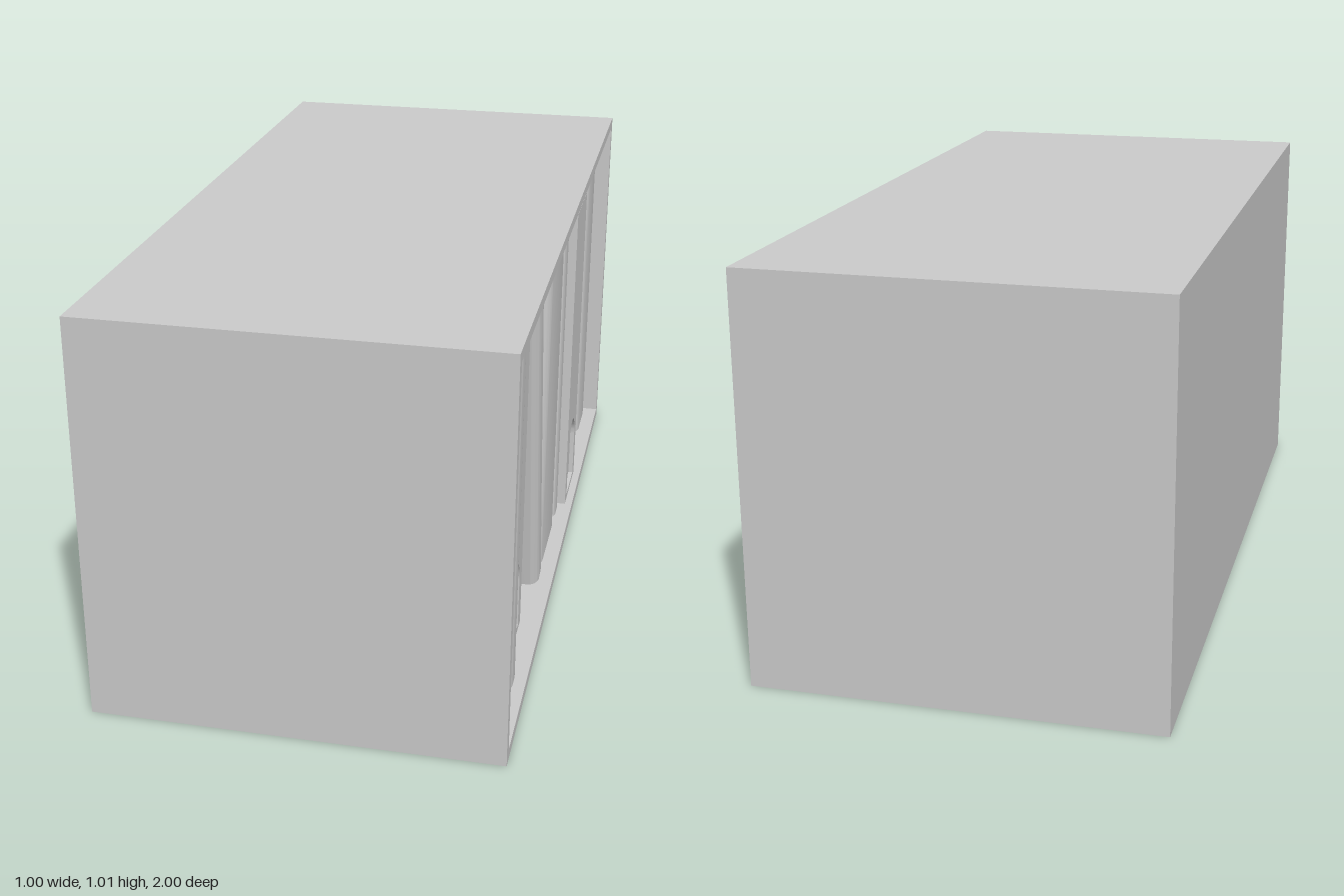
import * as THREE from 'three';
import { toCreasedNormals } from 'three/addons/utils/BufferGeometryUtils.js';

const material = new THREE.MeshStandardMaterial({ color: 0xcccccc });
const FLOOR = 0.028, BOOK_HEIGHT = 0.89, BOOK_DEPTH = 0.75;

function part(name, geometry, x = 0, y = 0, z = 0) {
  const mesh = new THREE.Mesh(geometry, material);
  mesh.name = name;
  mesh.position.set(x, y, z);
  return mesh;
}

function box(name, w, h, d, x, y, z) {
  return part(name, new THREE.BoxGeometry(w, h, d), x, y, z);
}

// Extrude a plan outline upwards, centred on its height.
function upright(shape, height) {
  const g = new THREE.ExtrudeGeometry(shape, { depth: height, bevelEnabled: false, curveSegments: 8 });
  g.translate(0, 0, -height / 2).rotateX(-Math.PI / 2);
  return toCreasedNormals(g, 0.6);
}

// Extrude a spine-side outline (first axis along -z) outwards along +x.
function outward(shape, depth) {
  const g = new THREE.ExtrudeGeometry(shape, { depth, bevelEnabled: false, curveSegments: 16 });
  g.rotateY(Math.PI / 2);
  return toCreasedNormals(g, 0.6);
}

// U-shaped cover with a rounded spine at x = 0, wrapped around a page block.
function makeBook(width, radius) {
  const book = new THREE.Group();
  book.name = 'book';
  const w = width / 2, t = 0.012, r = radius, ri = Math.max(r - t, 0.004), wi = w - t;
  const s = new THREE.Shape();
  s.moveTo(-BOOK_DEPTH, -w);
  s.lineTo(-r, -w);
  s.absarc(-r, -w + r, r, -Math.PI / 2, 0, false);
  s.absarc(-r, w - r, r, 0, Math.PI / 2, false);
  s.lineTo(-BOOK_DEPTH, w);
  s.lineTo(-BOOK_DEPTH, wi);
  s.lineTo(-t - ri, wi);
  s.absarc(-t - ri, wi - ri, ri, Math.PI / 2, 0, true);
  s.absarc(-t - ri, -wi + ri, ri, 0, -Math.PI / 2, true);
  s.lineTo(-BOOK_DEPTH, -wi);
  s.closePath();
  book.add(part('cover', upright(s, BOOK_HEIGHT)));

  const p = new THREE.Shape();
  p.moveTo(-BOOK_DEPTH + 0.01, -wi);
  p.lineTo(-t - ri, -wi);
  p.absarc(-t - ri, -wi + ri, ri, -Math.PI / 2, 0, false);
  p.absarc(-t - ri, wi - ri, ri, 0, Math.PI / 2, false);
  p.lineTo(-BOOK_DEPTH + 0.01, wi);
  p.closePath();
  book.add(part('pages', upright(p, BOOK_HEIGHT - 0.012)));
  return book;
}

function rectangle(w, h) {
  const s = new THREE.Shape();
  s.moveTo(-w / 2, 0);
  s.lineTo(w / 2, 0);
  s.lineTo(w / 2, h);
  s.lineTo(-w / 2, h);
  s.closePath();
  return s;
}

// Flat-spined binder with an arched recess and a finger hole near the bottom.
function makeBinder(width) {
  const binder = new THREE.Group();
  binder.name = 'binder';
  const bottom = -BOOK_HEIGHT / 2, t = 0.012;

  const spine = rectangle(width, BOOK_HEIGHT);
  const arch = new THREE.Path();
  arch.moveTo(-0.075, 0.014);
  arch.lineTo(0.075, 0.014);
  arch.lineTo(0.075, 0.145);
  arch.absarc(0, 0.145, 0.075, 0, Math.PI, false);
  arch.closePath();
  spine.holes.push(arch);
  binder.add(part('spine', outward(spine, t), -t, bottom, 0));

  const recess = rectangle(width, BOOK_HEIGHT);
  recess.holes.push(new THREE.Path().absarc(0, 0.18, 0.025, 0, Math.PI * 2, true));
  binder.add(part('recessPlate', outward(recess, t), -2 * t, bottom, 0));

  const inner = BOOK_DEPTH - 2 * t, cx = -2 * t - inner / 2;
  for (const side of [-1, 1]) {
    binder.add(box('cover', inner, BOOK_HEIGHT, t, cx, 0, side * (width - t) / 2));
  }
  binder.add(box('pages', inner, BOOK_HEIGHT - 0.012, width - 2 * t, cx, 0, 0));
  return binder;
}

export function createModel() {
  const model = new THREE.Group();
  model.name = 'shelfBoxWithBooks';

  // Case, open towards +x
  const H = 1.01, T = 0.027;
  const shelf = new THREE.Group();
  shelf.name = 'case';
  shelf.add(box('bottomPanel', 1, T, 2, 0, T / 2, 0));
  shelf.add(box('topPanel', 1, T, 2, 0, H - T / 2, 0));
  for (const side of [-1, 1]) {
    shelf.add(box('endPanel', 1, H - 2 * T, T, 0, H / 2, side * (1 - T / 2)));
  }
  shelf.add(box('backPanel', T, H - 2 * T, 2 - 2 * T, -0.5 + T / 2, H / 2, 0));
  model.add(shelf);

  // Upright books: z start, z end, spine position, corner radius
  const books = [
    [0.972, 0.75, 0.46, 0.045], [0.745, 0.65, 0.47, 0.03],
    [0.13, -0.16, 0.46, 0.045], [-0.165, -0.262, 0.46, 0.03],
    [-0.492, -0.592, 0.43, 0.03], [-0.598, -0.755, 0.37, 0.035],
    [-0.76, -0.972, 0.46, 0.045],
  ];
  for (const [a, b, x, r] of books) {
    const book = makeBook(a - b, r);
    book.position.set(x, FLOOR + BOOK_HEIGHT / 2, (a + b) / 2);
    model.add(book);
  }

  // Binders
  for (const [a, b, x] of [[0.645, 0.415, 0.445], [-0.265, -0.489, 0.48]]) {
    const binder = makeBinder(a - b);
    binder.position.set(x, FLOOR + BOOK_HEIGHT / 2, (a + b) / 2);
    model.add(binder);
  }

  // Leaning book
  const leaning = makeBook(0.095, 0.03);
  leaning.name = 'leaningBook';
  leaning.position.set(0.465, 0.474, 0.272);
  leaning.rotation.x = 0.204;
  model.add(leaning);

  return model;
}
